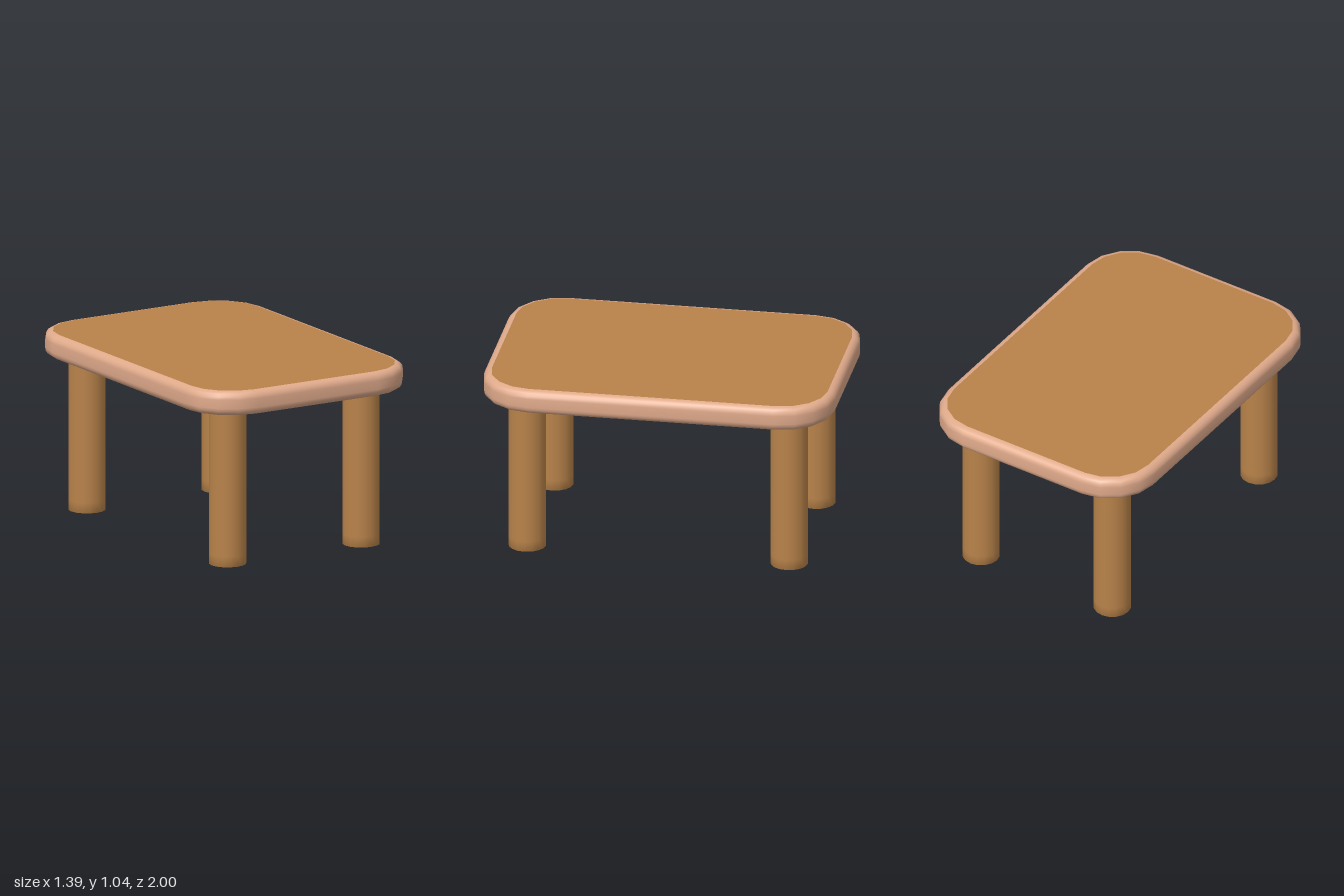
import * as THREE from 'three';

const wood = new THREE.MeshStandardMaterial({ color: 0xb9834a });
const trim = new THREE.MeshStandardMaterial({ color: 0xe0aa8b });
const BOTTOM = 0.9, TOP = 1.04, ROUND = 0.045;

// Rounded rectangle as a list of [x, z] points, four segments per corner
function outline(hx, hz, r) {
  const points = [];
  [[1, 1], [-1, 1], [-1, -1], [1, -1]].forEach(([sx, sz], corner) => {
    for (let j = 0; j <= 4; j++) {
      const a = (corner + j / 4) * Math.PI / 2;
      points.push([sx * (hx - r) + r * Math.cos(a), sz * (hz - r) + r * Math.sin(a)]);
    }
  });
  return points;
}

const edge = inset => outline(0.695 - inset, 1 - inset, 0.3 - inset);
const panelOutline = outline(0.33, 0.64, 0.09);

// Flat filled panel facing up (side = 1) or down (side = -1)
function panel(points, y, side, name) {
  const shape = new THREE.Shape(points.map(([x, z]) => new THREE.Vector2(x, z)));
  const geometry = new THREE.ShapeGeometry(shape).rotateX(-side * Math.PI / 2).translate(0, y, 0);
  const mesh = new THREE.Mesh(geometry, wood);
  mesh.name = name;
  return mesh;
}

// Skin over a stack of closed loops, from the underside out and up to the top
function loft(loops) {
  const n = loops[0].points.length, positions = [], index = [];
  for (const { points, y } of loops) for (const [x, z] of points) positions.push(x, y, z);
  for (let k = 0; k < loops.length - 1; k++) {
    for (let i = 0; i < n; i++) {
      const a = k * n + i, b = k * n + (i + 1) % n;
      index.push(a, a + n, b, b, a + n, b + n);
    }
  }
  const geometry = new THREE.BufferGeometry();
  geometry.setAttribute('position', new THREE.Float32BufferAttribute(positions, 3));
  geometry.setIndex(index);
  geometry.computeVertexNormals();
  return geometry;
}

export function createModel() {
  const model = new THREE.Group();
  model.name = 'table';

  // Rounded rim, including the border of the underside
  const loops = [{ points: panelOutline, y: BOTTOM }];
  for (let half = 0; half < 2; half++) {
    for (let j = 0; j <= 4; j++) {
      const a = (half + j / 4) * Math.PI / 2;
      const inset = ROUND * (1 - Math.sin(a));
      const y = (half ? TOP - ROUND : BOTTOM + ROUND) - ROUND * Math.cos(a);
      loops.push({ points: edge(inset), y });
    }
  }
  const rim = new THREE.Mesh(loft(loops), trim);
  rim.name = 'tabletopRim';
  model.add(rim);

  // Wooden faces of the tabletop
  model.add(panel(edge(ROUND), TOP, 1, 'topPanel'));
  model.add(panel(panelOutline, BOTTOM, -1, 'undersidePanel'));

  // Four round legs with softly shaded feet
  const profile = [[0, 0], [0.085, 0], [0.106, 0], [0.106, 0.06], [0.106, BOTTOM]];
  const legGeometry = new THREE.LatheGeometry(profile.map(([x, y]) => new THREE.Vector2(x, y)), 16);
  for (const [depth, z] of [['front', 0.745], ['back', -0.745]]) {
    for (const [side, x] of [['Left', 0.44], ['Right', -0.44]]) {
      const leg = new THREE.Mesh(legGeometry, wood);
      leg.name = `${depth}${side}Leg`;
      leg.position.set(x, 0, z);
      model.add(leg);
    }
  }
  return model;
}
